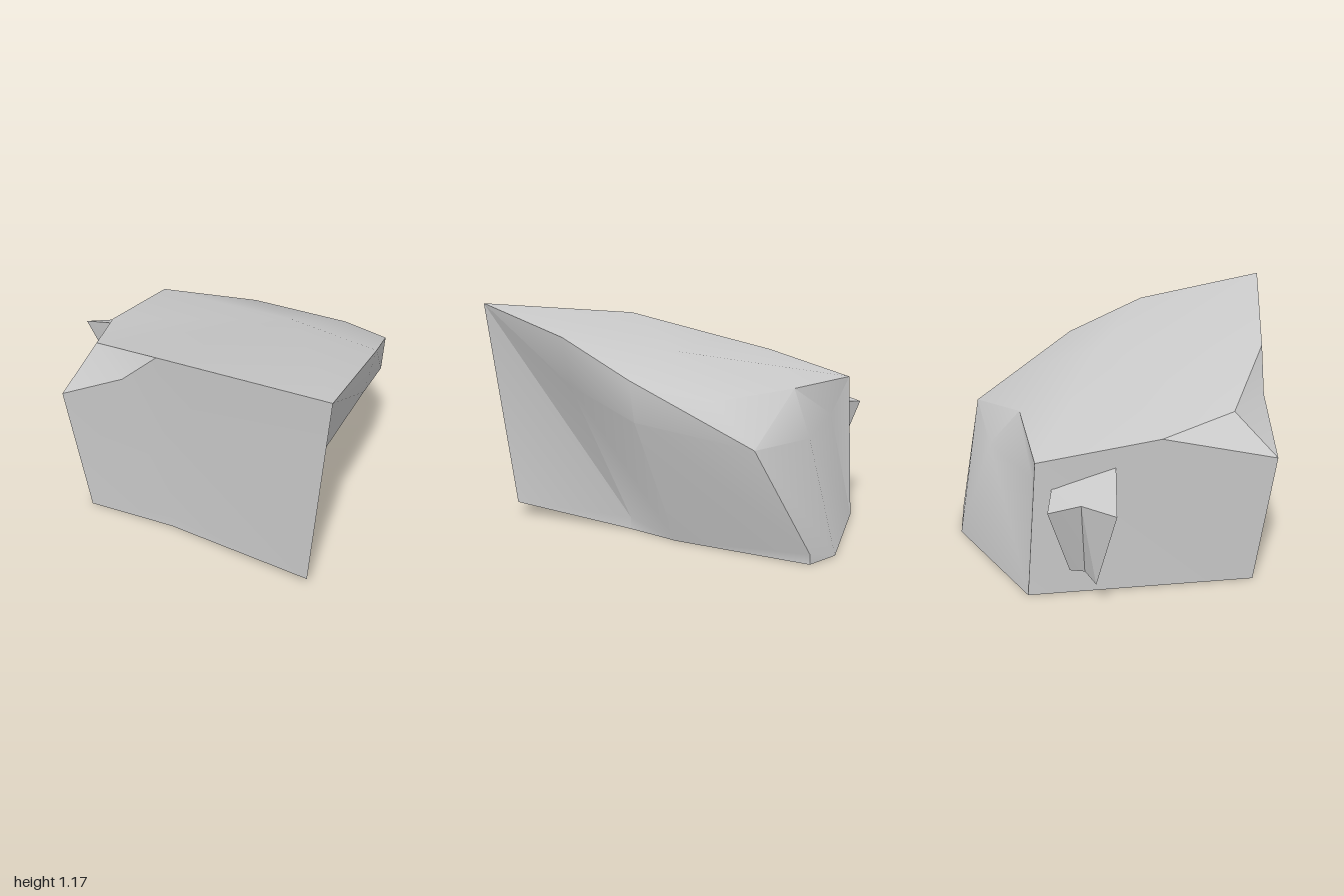
import * as THREE from 'three';
import { toCreasedNormals } from 'three/addons/utils/BufferGeometryUtils.js';

// Builds a mesh from named corners and counter-clockwise polygons ("A B C D").
function facetMesh(name, points, faces, crease) {
  const pos = [];
  for (const face of faces) {
    const k = face.split(' ');
    for (let i = 1; i < k.length - 1; i++) {
      pos.push(...points[k[0]], ...points[k[i]], ...points[k[i + 1]]);
    }
  }
  const geo = new THREE.BufferGeometry();
  geo.setAttribute('position', new THREE.Float32BufferAttribute(pos, 3));
  const mesh = new THREE.Mesh(
    toCreasedNormals(geo, crease),
    new THREE.MeshStandardMaterial({ color: 0xcccccc, side: THREE.DoubleSide })
  );
  mesh.name = name;
  return mesh;
}

function createRock() {
  const p = {
    // top rim and crown
    A: [-0.6, 1.17, 1.0], B: [0.05, 1.04, 0.78], C: [0.43, 0.87, 0.59],
    F: [0.59, 0.765, 0.23], V1: [0.45, 0.77, -0.3], G: [0.21, 0.765, -0.8],
    H: [-0.35, 0.865, -0.62], I: [-0.65, 0.935, -0.4], J: [-0.72, 1.08, 0.1],
    Z: [0.15, 0.95, 0.2],
    // middle corners
    M: [0.03, 0.8, 0.74], D: [0.445, 0.67, 0.57], E: [0.86, 0.58, 0.16],
    V2: [0.63, 0.55, -0.28], G2: [0.28, 0.58, -0.64], G3: [0.22, 0.62, -0.785],
    K: [-0.87, 0.73, -0.43], L: [-0.76, 0.9, -0.1],
    // foot, with a raised front corner
    P: [-0.54, 0.07, 0.87], Q1: [-0.015, 0.065, 0.41], Q0: [-0.015, 0, 0.41],
    X: [0.27, 0, 0.28], U1: [0.87, 0.05, -0.14], U0: [0.87, 0, -0.14],
    T: [0.815, 0, -0.32], S: [0.28, 0, -0.785], N: [-0.79, 0, -0.39],
    R0: [-0.64, 0, 0.06], R1: [-0.64, 0.07, 0.06], W: [-0.5, 0, 0.56],
  };
  const faces = [
    // front
    'A P Q1 M', 'A M B', 'B M D C', 'M Q1 X D', 'D X U1 E', 'Q1 Q0 X', 'X U0 U1', 'C D E F',
    // +x side
    'V1 F E V2', 'E U1 T V2', 'U1 U0 T', 'V1 V2 G2 G', 'V2 T S G2', 'G G2 S G3',
    // back
    'G G3 S', 'G S N', 'G N H', 'H N K', 'H K I',
    // -x side
    'I K L', 'I L J', 'K N R1', 'K R1 L', 'L R1 J', 'J R1 P A', 'N R0 R1',
    // undercut and base
    'P R1 R0 W', 'P W Q0 Q1', 'R0 N S T U0 X Q0 W',
  ];
  // crown fan
  const rim = ['C', 'F', 'V1', 'G', 'H', 'I', 'J', 'A', 'B'];
  rim.forEach((c, i) => faces.push(`Z ${c} ${rim[(i + 1) % rim.length]}`));
  return facetMesh('rockBody', p, faces, 0.65);
}

// Notched shard tapering downward on the back face
function createShard() {
  const top = [[0.15, 0.62, -0.74], [0.11, 0.6, -0.95], [-0.035, 0.63, -0.9], [-0.225, 0.66, -1.0], [-0.13, 0.73, -0.62]];
  const bottom = [[0.08, 0.19, -0.66], [0.06, 0.19, -0.79], [-0.01, 0.18, -0.77], [-0.09, 0.18, -0.86], [-0.06, 0.19, -0.56]];
  const p = {};
  const faces = ['t2 t3 t4 t0 t1', 'b2 b1 b0 b4 b3'];
  for (let i = 0; i < 5; i++) {
    const j = (i + 1) % 5;
    p['t' + i] = top[i];
    p['b' + i] = bottom[i];
    faces.push(`t${i} b${i} b${j} t${j}`);
  }
  return facetMesh('backShard', p, faces, 0.3);
}

export function createModel() {
  const group = new THREE.Group();
  group.name = 'rock';
  group.add(createRock(), createShard());
  return group;
}
